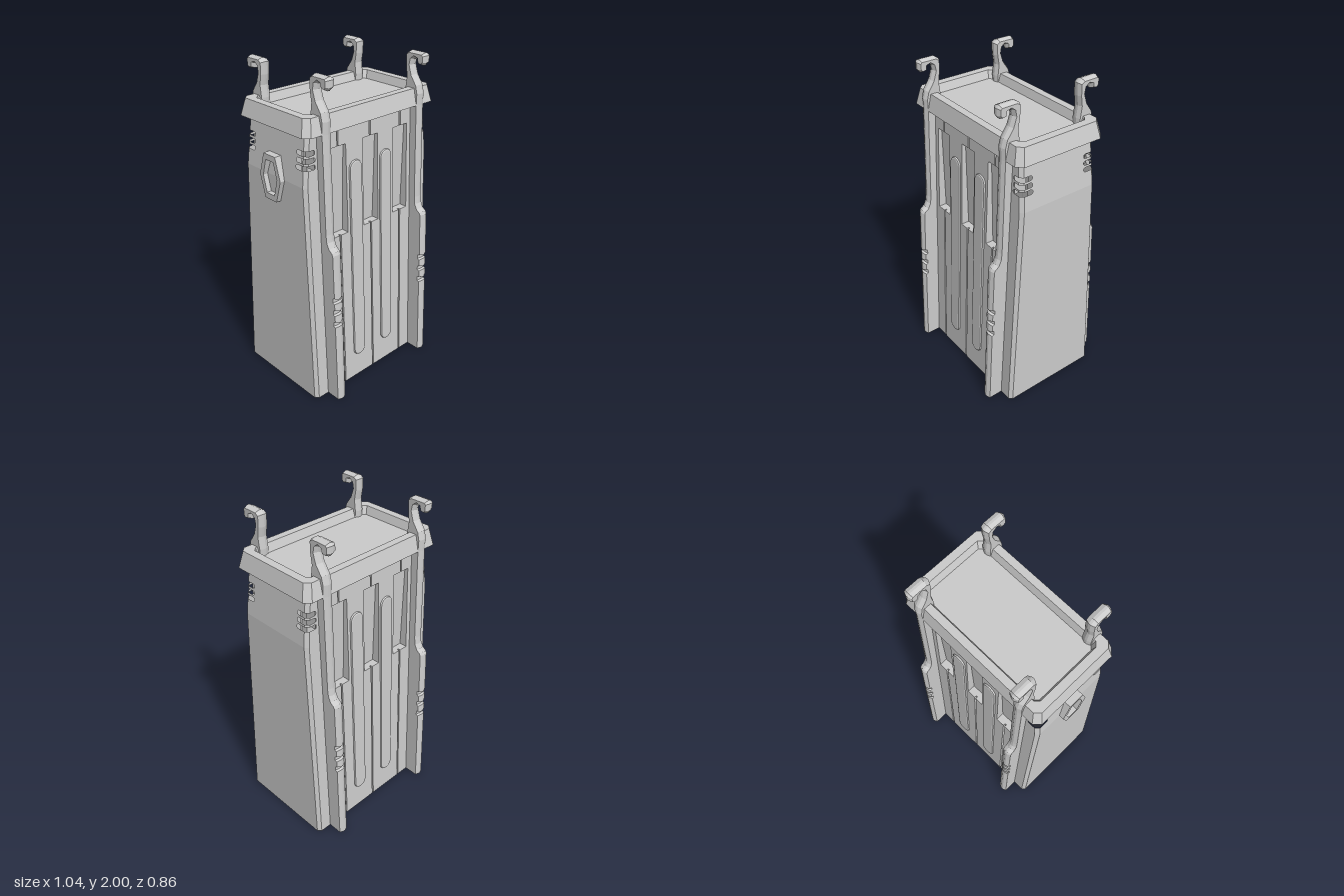
import * as THREE from 'three';

const material = new THREE.MeshStandardMaterial({ color: 0xcccccc, side: THREE.DoubleSide, flatShading: true });
const TOP = 1.69, BEND = 1.4, CHAMFER = 0.02;
const POCKET_LOW = 1.04, POCKET_HIGH = 1.58;
const SLOTS = [1.508, 1.548, 1.589], SLOT_R = 0.013;

// Slope of the broad walls and outline of the narrow ones
const frontZ = y => 0.33 - 0.0473 * y;
const sideX = y => 0.495 - 0.03 * Math.max(0, (y - BEND) / (TOP - BEND));
const frontEdge = y => sideX(y) - CHAMFER;
const sideEdge = y => frontZ(y) - CHAMFER;

function add(parent, name, geometry) {
  const mesh = new THREE.Mesh(geometry, material);
  mesh.name = name;
  parent.add(mesh);
  return mesh;
}

// Moves every vertex by a rule
function remap(geometry, rule) {
  const p = geometry.attributes.position;
  for (let i = 0; i < p.count; i++) p.setXYZ(i, ...rule(p.getX(i), p.getY(i), p.getZ(i)));
  geometry.computeVertexNormals();
  return geometry;
}

// Joins equal-length cross-sections with quads
function skin(sections, closed = false, cap = false) {
  const n = sections[0].length, index = [];
  for (let s = 0; s + 1 < sections.length; s++) {
    for (let i = 0; i < (closed ? n : n - 1); i++) {
      const a = s * n + i, b = s * n + (i + 1) % n;
      index.push(a, b, b + n, a, b + n, a + n);
    }
  }
  const last = (sections.length - 1) * n;
  if (cap) for (let i = 1; i + 1 < n; i++) index.push(last, last + i, last + i + 1);
  const g = new THREE.BufferGeometry();
  g.setAttribute('position', new THREE.Float32BufferAttribute(sections.flat(2), 3));
  g.setIndex(index);
  const flat = g.toNonIndexed();
  flat.computeVertexNormals();
  return flat;
}

// Rectangle with cut corners, running anticlockwise seen from above
function octagon(y, x, z, c) {
  return [[x, z - c], [x, c - z], [x - c, -z], [c - x, -z], [-x, c - z], [-x, z - c], [c - x, z], [x - c, z]]
    .map(([px, pz]) => [px, y, pz]);
}

// Runs a wall edge upward, cutting round-ended vents into it
function ventedEdge(shape, edge, inner) {
  for (const y of SLOTS) {
    shape.lineTo(edge(y - SLOT_R), y - SLOT_R);
    shape.absarc(inner + SLOT_R, y, SLOT_R, -Math.PI / 2, Math.PI / 2, true);
    shape.lineTo(edge(y + SLOT_R), y + SLOT_R);
  }
  shape.lineTo(edge(TOP), TOP);
}

// Border of a groove that widens into a pocket, from bottom to top
function channelEdge(center, side) {
  return [[0.005, 0], [0.005, POCKET_LOW], [0.06, POCKET_LOW], [0.06, POCKET_HIGH], [0.005, POCKET_HIGH], [0.005, TOP]]
    .map(([w, y]) => new THREE.Vector2(center + side * w, y));
}

function channelLiner(x) {
  return skin([[0, 0.005, 0.015], [POCKET_LOW, 0.005, 0.015], [POCKET_LOW, 0.06, 0.05],
    [POCKET_HIGH, 0.06, 0.022], [POCKET_HIGH, 0.005, 0.015], [TOP, 0.005, 0.015]]
    .map(([y, w, d]) => [[x - w, y, frontZ(y)], [x - w, y, frontZ(y) - d],
      [x + w, y, frontZ(y) - d], [x + w, y, frontZ(y)]]));
}

function capsule(x) {
  const r = 0.0375, s = new THREE.Shape();
  s.absarc(x, 0.2025, r, Math.PI, 2 * Math.PI);
  s.absarc(x, 1.4225, r, 0, Math.PI);
  s.closePath();
  const g = new THREE.ExtrudeGeometry(s, { depth: 0.004, bevelThickness: 0.01, bevelSize: 0.01, bevelSegments: 2, curveSegments: 10 });
  return remap(g, (px, y, z) => [px, y, z + frontZ(y) - 0.002]);
}

// Leg and hook profile as (z, y)
function legGeometry() {
  const outer = y => 0.43 - 0.045 * y;
  const pts = [[sideEdge(0), 0], [outer(0), 0]];
  for (const y of [0.53, 0.61, 0.69]) {
    pts.push([outer(y), y], [outer(y) - 0.014, y + 0.006], [outer(y) - 0.014, y + 0.02], [outer(y), y + 0.026]);
  }
  pts.push([0.385, 1.0], [0.376, 1.018], [0.352, 1.035], [0.337, 1.065], [0.331, 1.11],
    [0.307, 1.69], [0.308, 1.76], [0.295, 1.81], [0.256, 1.865], [0.238, 1.92], [0.244, 1.952], [0.262, 1.966],
    [0.28, 1.96], [0.284, 1.932], [0.318, 1.926], [0.335, 1.945], [0.335, 1.985], [0.322, 2.0],
    [0.222, 2.0], [0.195, 1.982], [0.197, 1.91], [0.207, 1.85], [0.198, 1.78], [0.2, 1.69], [sideEdge(1.6), 1.6]);
  const shape = new THREE.Shape(pts.map(p => new THREE.Vector2(...p)));
  const g = new THREE.ExtrudeGeometry(shape, { depth: 0.014, bevelThickness: 0.023, bevelSize: 0.01, bevelOffset: -0.01, bevelSegments: 1 });
  // Turn the profile sideways and keep the foot flat
  return remap(g, (x, y, z) => [0.007 - z, y < 0.011 ? 0 : y, x]);
}

// One broad wall with its strips, grooves, pockets, ribs, corners and legs
function broadSide(name) {
  const side = new THREE.Group();
  side.name = name;
  const wall = shape => remap(new THREE.ShapeGeometry(shape, 6), (x, y) => [x, y, frontZ(y)]);
  const leg = legGeometry();
  const levels = [0, BEND, ...SLOTS.flatMap(y => [y - SLOT_R, y + SLOT_R]), TOP];
  for (const m of [1, -1]) {
    const half = new THREE.Group();
    half.name = m > 0 ? 'leftHalf' : 'rightHalf';
    side.add(half);
    const mirror = g => remap(g, (x, y, z) => [m * x, y, z]);

    const inner = new THREE.Shape([...channelEdge(0, 1), ...channelEdge(0.25, -1).reverse()]);
    add(half, 'innerWallStrip', mirror(wall(inner)));

    const outer = new THREE.Shape();
    outer.moveTo(0.255, 0);
    outer.lineTo(frontEdge(0), 0);
    outer.lineTo(frontEdge(BEND), BEND);
    ventedEdge(outer, frontEdge, 0.415);
    for (const p of channelEdge(0.25, 1).reverse()) outer.lineTo(p.x, p.y);
    add(half, 'outerWallStrip', mirror(wall(outer)));

    add(half, 'grooveAndPocket', channelLiner(m * 0.25));
    add(half, 'raisedRib', capsule(m * 0.1225));

    // Cut corner, left open at the vents
    for (let i = 0; i + 1 < levels.length; i++) {
      if (i >= 2 && i % 2 === 0 && i < levels.length - 1) continue;
      add(half, 'cornerStrip', skin([levels[i], levels[i + 1]].map(y =>
        [[m * frontEdge(y), y, frontZ(y)], [m * sideX(y), y, sideEdge(y)]])));
    }
    const plate = add(half, 'ventBacking', new THREE.BoxGeometry(0.004, 0.14, 0.075));
    plate.position.set(m * 0.411, 1.55, 0.21);

    add(half, 'hookedLeg', leg).position.x = m * 0.37;
  }
  add(side, 'centreGrooveAndPocket', channelLiner(0));
  return side;
}

function narrowSide(m, name) {
  const side = new THREE.Group();
  side.name = name;
  const lower = new THREE.Shape();
  lower.moveTo(0, 0);
  lower.lineTo(sideEdge(0), 0);
  lower.lineTo(sideEdge(BEND), BEND);
  lower.lineTo(0, BEND);
  const upper = new THREE.Shape();
  upper.moveTo(0, BEND);
  upper.lineTo(sideEdge(BEND), BEND);
  ventedEdge(upper, sideEdge, 0.18);
  upper.lineTo(0, TOP);
  for (const s of [1, -1]) for (const shape of [lower, upper]) {
    add(side, 'sideWall', remap(new THREE.ShapeGeometry(shape, 6), (z, y) => [m * sideX(y), y, s * z]));
  }
  return side;
}

export function createModel() {
  const model = new THREE.Group();
  model.name = 'container';
  const body = new THREE.Group();
  body.name = 'body';
  body.position.x = 0.005;
  model.add(body);

  body.add(broadSide('frontSide'));
  const back = broadSide('backSide');
  back.rotation.y = Math.PI;
  body.add(back, narrowSide(1, 'leftSide'), narrowSide(-1, 'rightSide'));

  // Flared lid with a recessed top
  add(body, 'lid', skin([octagon(TOP, 0.463, 0.249, 0.02), octagon(TOP, 0.511, 0.298, 0.036),
    octagon(1.79, 0.486, 0.274, 0.03), octagon(1.79, 0.437, 0.228, 0.024),
    octagon(1.74, 0.42, 0.211, 0.018)], true, true));

  // Six-sided frame on the right side
  const hexagon = (w, h) => [[w * 0.55, h], [-w * 0.55, h], [-w, 0], [-w * 0.55, -h], [w * 0.55, -h], [w, 0]]
    .map(([z, y]) => new THREE.Vector2(z, y));
  const frame = new THREE.Shape(hexagon(0.09, 0.135));
  frame.holes.push(new THREE.Path(hexagon(0.06, 0.1)));
  const ring = add(body, 'sideFrame', new THREE.ExtrudeGeometry(frame, { depth: 0.05, bevelEnabled: false }));
  ring.rotation.y = -Math.PI / 2;
  ring.position.set(-0.475, 1.395, 0);

  return model;
}
